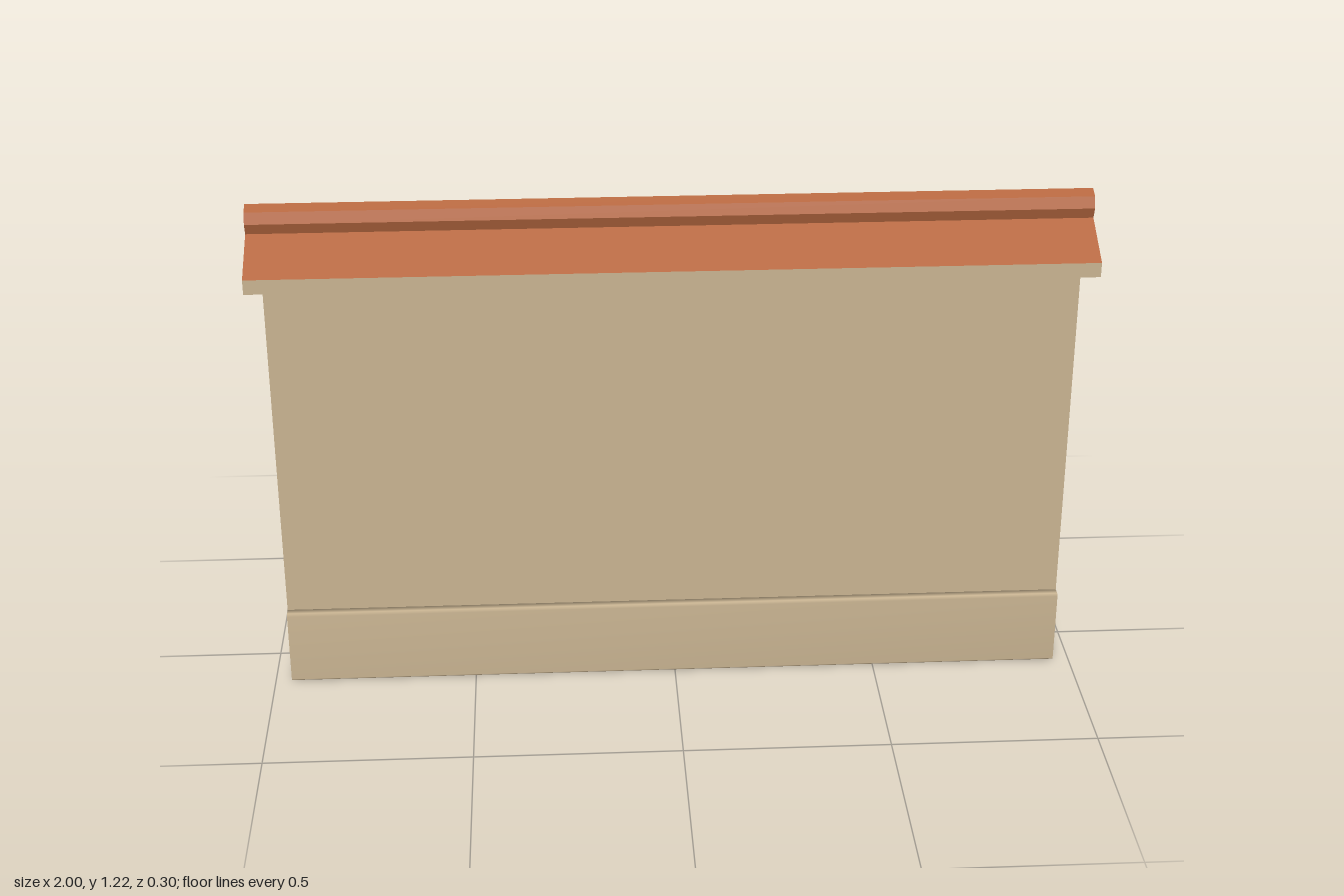
import * as THREE from 'three';
import { mergeVertices } from 'three/addons/utils/BufferGeometryUtils.js';

// Extrudes a [z, y] cross-section along x, centred on x = 0
function extrudeAlongX(points, length) {
  const shape = new THREE.Shape(points.map(([z, y]) => new THREE.Vector2(z, y)));
  const geometry = new THREE.ExtrudeGeometry(shape, { depth: length, bevelEnabled: false });
  return geometry.rotateY(-Math.PI / 2).translate(length / 2, 0, 0);
}

// Shares normals across all edges for soft shading
function smooth(geometry) {
  geometry.deleteAttribute('normal');
  geometry.deleteAttribute('uv');
  const merged = mergeVertices(geometry, 1e-4);
  merged.computeVertexNormals();
  return merged;
}

export function createModel() {
  const group = new THREE.Group();
  const plaster = new THREE.MeshStandardMaterial({ color: 0xc8b391 });
  plaster.name = 'sandPlaster';
  const tile = new THREE.MeshStandardMaterial({ color: 0xb5673f });
  tile.name = 'terracotta';

  const add = (name, geometry, material) => {
    const mesh = new THREE.Mesh(geometry, material);
    mesh.name = name;
    group.add(mesh);
    return mesh;
  };

  // Main wall slab
  add('wall', new THREE.BoxGeometry(1.92, 1.055, 0.224).translate(0, 0.5275, 0), plaster);

  // Softly shaded plinth along the front and back
  const plinth = [
    [0.112, 0], [0.131, 0], [0.137, 0.006],
    [0.137, 0.186], [0.131, 0.192], [0.112, 0.192],
  ];
  const frontPlinth = smooth(extrudeAlongX(plinth, 1.92));
  add('frontPlinth', frontPlinth, plaster);
  add('backPlinth', frontPlinth.clone().rotateY(Math.PI), plaster);

  // Overhanging coping slab
  add('copingSlab', new THREE.BoxGeometry(2, 0.036, 0.298).translate(0, 1.073, 0), plaster);

  // Sloped tile roof with a faceted ridge roll
  const half = [[0.149, 1.091], [0.027, 1.157], [0.037, 1.184], [0.027, 1.211]];
  const mirrored = half.map(([z, y]) => [-z, y]).reverse();
  add('tileRoof', extrudeAlongX([...half, [0, 1.222], ...mirrored], 2), tile);

  return group;
}
